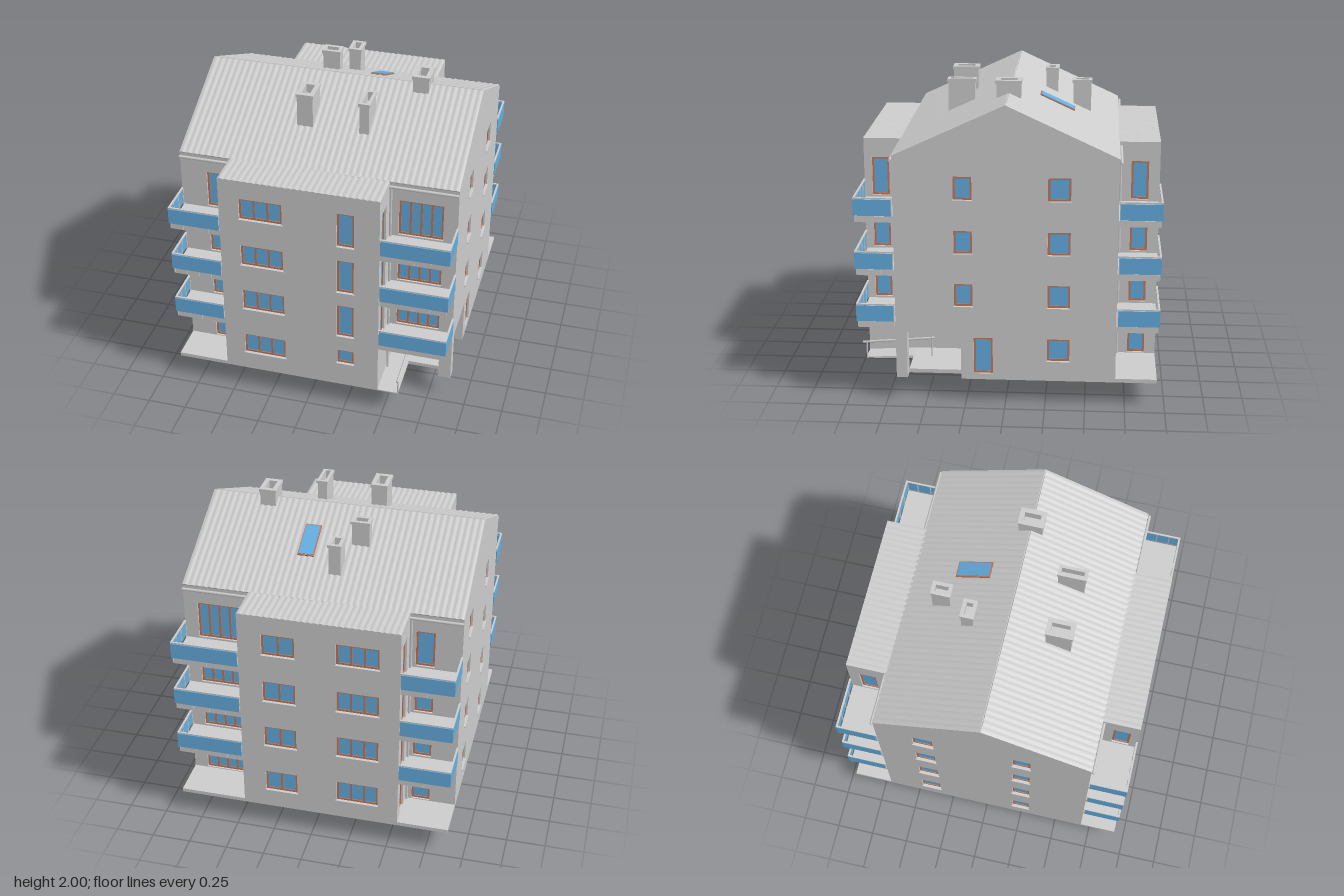
import * as THREE from 'three';

const grey = new THREE.MeshStandardMaterial({ color: 0xcccccc, side: THREE.DoubleSide });
const glass = new THREE.MeshStandardMaterial({ color: 0x64aee0 });
const wood = new THREE.MeshStandardMaterial({ color: 0xbf7a5e });

const FRONT = 0.93, BACK = -0.95, MAIN = 0.69, SIDE = 0.89, PR = 0.46, PL = -0.56;
const BASE = 0.15, EAVE = 1.6, RIDGE = 1.92;
const TOPS = [0.43, 0.785, 1.13, 1.475]; // window heads per storey

function add(parent, name, geometry, material = grey) {
  const mesh = new THREE.Mesh(geometry, material);
  mesh.name = name;
  parent.add(mesh);
  return mesh;
}

// box given by its min and max on each axis
function box(parent, name, x0, x1, y0, y1, z0, z1, material) {
  const g = new THREE.BoxGeometry(Math.abs(x1 - x0), Math.abs(y1 - y0), Math.abs(z1 - z0));
  g.translate((x0 + x1) / 2, (y0 + y1) / 2, (z0 + z1) / 2);
  return add(parent, name, g, material);
}

function rod(parent, name, a, b, radius) {
  const p = new THREE.Vector3(...a), q = new THREE.Vector3(...b);
  const mesh = add(parent, name, new THREE.CylinderGeometry(radius, radius, p.distanceTo(q), 8));
  mesh.position.copy(p).lerp(q, 0.5);
  mesh.quaternion.setFromUnitVectors(new THREE.Vector3(0, 1, 0), q.sub(p).normalize());
}

const polygon = pts => new THREE.Shape(pts.map(p => new THREE.Vector2(...p)));
const rect = (x0, x1, y0, y1) => [[x0, y0], [x1, y0], [x1, y1], [x0, y1]];
const extrude = (shape, depth) => new THREE.ExtrudeGeometry(shape, { depth, bevelEnabled: false });

// frame with glazing bars, glass and sill, set back in its opening
function addWindow(parent, [x0, x1, y0, y1, panes = 1, sill = true]) {
  const f = 0.013, w = (x1 - x0 - f) / panes;
  const frame = polygon(rect(x0, x1, y0, y1));
  for (let i = 0; i < panes; i++)
    frame.holes.push(polygon(rect(x0 + f + i * w, x0 + (i + 1) * w, y0 + f, y1 - f)));
  add(parent, 'windowFrame', extrude(frame, 0.014).translate(0, 0, -0.026), wood);
  box(parent, 'windowGlass', x0, x1, y0, y1, -0.024, -0.018, glass);
  if (sill) box(parent, 'windowSill', x0 - 0.005, x1 + 0.005, y0 - 0.008, y0, -0.02, 0.008);
}

// wall with openings: local x to the right, outside towards local +z
function wall(parent, name, position, turn, outline, windows) {
  const group = new THREE.Group();
  group.name = name;
  group.position.set(...position);
  group.rotation.y = turn;
  const shape = polygon(outline);
  for (const [x0, x1, y0, y1] of windows) shape.holes.push(polygon(rect(x0, x1, y0, y1)));
  add(group, name + 'Surface', extrude(shape, 0.035).translate(0, 0, -0.035));
  windows.forEach(w => addWindow(group, w));
  parent.add(group);
}

// roof sheet with ribs running down its slope
function roofSheet(parent, name, width, length, ribs) {
  const g = new THREE.BoxGeometry(width, 0.016, length, ribs * 4, 1, 1);
  const p = g.attributes.position;
  for (let i = 0; i < p.count; i++) {
    const t = (p.getX(i) / width + 0.5) * ribs;
    if (p.getY(i) > 0) p.setY(i, 0.005 + 0.006 * Math.abs(Math.sin(Math.PI * t)));
  }
  g.computeVertexNormals();
  return add(parent, name, g);
}

// balcony in a corner of the plan: slab, glass parapet, posts, handrail
function balcony(parent, xi, xo, zi, zo, y) {
  const sx = Math.sign(xo), sz = Math.sign(zo);
  const g = new THREE.Group();
  g.name = 'balcony';
  box(g, 'balconySlab', xi, xo - sx * 0.012, y - 0.04, y, zi, zo - sz * 0.012);
  box(g, 'balconyGlass', xi + sx * 0.005, xo, y + 0.005, y + 0.108, zo - sz * 0.006, zo, glass);
  box(g, 'balconyGlass', xo - sx * 0.006, xo, y + 0.005, y + 0.108, zi + sz * 0.01, zo, glass);
  box(g, 'handrail', xi, xo, y + 0.112, y + 0.12, zo - sz * 0.012, zo);
  box(g, 'handrail', xo - sx * 0.012, xo, y + 0.112, y + 0.12, zi, zo);
  const post = (x, z) => box(g, 'post', x - 0.003, x + 0.003, y - 0.035, y + 0.113, z - 0.003, z + 0.003);
  for (let i = 0; i <= 4; i++) post(xi + (xo - sx * 0.01 - xi) * i / 4, zo - sz * 0.01);
  for (let i = 0; i < 3; i++) post(xo - sx * 0.01, zi + (zo - zi) * (i + 0.1) / 3);
  parent.add(g);
}

// hollow shaft with a wider cap
function chimney(parent, x0, x1, z0, z1, top) {
  const w = (x1 - x0) / 2, d = (z1 - z0) / 2;
  const ring = (grow, height, y) => {
    const s = polygon(rect(-w - grow, w + grow, -d - grow, d + grow));
    const m = Math.min(w, d) * 0.5;
    s.holes.push(polygon(rect(-w + m, w - m, -d + m, d - m)));
    const mesh = add(parent, 'chimney', extrude(s, height).rotateX(-Math.PI / 2));
    mesh.position.set((x0 + x1) / 2, y, (z0 + z1) / 2);
  };
  ring(-0.004, top - 1.67, 1.65);
  ring(0.002, 0.02, top - 0.02);
  box(parent, 'flueBottom', x0 + 0.01, x1 - 0.01, 1.66, top - 0.06, z0 + 0.01, z1 - 0.01);
}

export function createModel() {
  const model = new THREE.Group();
  model.name = 'apartmentBuilding';
  const upper = TOPS.slice(1), Q = Math.PI / 2;
  const rows = (tops, x0, x1, h, panes, sill) => tops.map(t => [x0, x1, t - h, t, panes, sill]);
  const doors = (tops, x0, x1, panes) => rows(tops, x0, x1, 0.25, panes, false);

  // foundation block and floor plate, left out below the entrance niche
  box(model, 'basement', -0.38, 0.2, 0, BASE, -0.38, 0.2);
  const plate = polygon([[-SIDE, -FRONT], [PR, -FRONT], [PR, -0.28], [SIDE, -0.28], [SIDE, -BACK], [-SIDE, -BACK]]);
  add(model, 'floorPlate', extrude(plate, 0.025).rotateX(-Q).translate(0, BASE, 0));

  // projecting middle bays
  wall(model, 'frontBay', [0, 0, FRONT], 0, rect(PL, PR, BASE, EAVE), [
    ...rows(TOPS, -0.43, -0.155, 0.148, 3), ...rows(upper, 0.19, 0.3, 0.24), [0.19, 0.3, 0.325, 0.43]]);
  wall(model, 'backBay', [0, 0, BACK], Math.PI, rect(-PR, -PL, BASE, EAVE), [
    ...rows(TOPS, 0.16, 0.43, 0.148, 3), ...rows(TOPS, -0.31, -0.1, 0.148, 2)]);
  wall(model, 'bayLeftFrontSide', [PR, 0, 0], Q, rect(-FRONT, -MAIN, BASE, EAVE), doors(upper, -0.88, -0.77));
  wall(model, 'bayLeftBackSide', [PR, 0, 0], Q, rect(MAIN, -BACK, BASE, EAVE), doors(TOPS, 0.77, 0.88));
  wall(model, 'bayRightFrontSide', [PL, 0, 0], -Q, rect(MAIN, FRONT, BASE, EAVE), doors(TOPS, 0.77, 0.88));
  wall(model, 'bayRightBackSide', [PL, 0, 0], -Q, rect(BACK, -MAIN, BASE, EAVE), doors(TOPS, -0.88, -0.77));

  // main walls behind the balconies
  wall(model, 'mainFrontLeft', [0, 0, MAIN], 0, rect(PR, SIDE, 0.46, EAVE), doors(upper, 0.52, 0.8, 4));
  wall(model, 'mainFrontRight', [0, 0, MAIN], 0, rect(-SIDE, PL, BASE, EAVE), doors(TOPS, -0.72, -0.6));
  wall(model, 'mainBackLeft', [0, 0, -MAIN], Math.PI, rect(-SIDE, -PR, BASE, EAVE), doors(TOPS, -0.8, -0.52, 4));
  wall(model, 'mainBackRight', [0, 0, -MAIN], Math.PI, rect(-PL, SIDE, BASE, EAVE), doors(TOPS, 0.6, 0.72));

  // gable walls; the left one is cut away for the entrance
  const gableTop = [[MAIN, EAVE], [0, RIDGE], [-MAIN, EAVE]];
  wall(model, 'leftGable', [SIDE, 0, 0], Q,
    [[-0.28, BASE], [MAIN, BASE], ...gableTop, [-MAIN, 0.46], [-0.28, 0.46]], [
      ...rows(upper, -0.32, -0.205, 0.148), ...rows(TOPS, 0.26, 0.4, 0.148), [-0.2, -0.08, 0.19, 0.43, 1, false]]);
  wall(model, 'rightGable', [-SIDE, 0, 0], -Q, [[-MAIN, BASE], [MAIN, BASE], ...gableTop], [
    ...rows(TOPS, 0.195, 0.31, 0.148), ...rows(TOPS, -0.45, -0.32, 0.148)]);

  // entrance niche with pillar, landing, ramp and handrails
  wall(model, 'entranceWall', [0, 0, 0.28], 0, rect(PR, SIDE, BASE, 0.47), [[0.52, 0.75, 0.18, 0.43, 3, false]]);
  wall(model, 'nicheSideWall', [PR, 0, 0], Q, rect(-MAIN, -0.28, BASE, 0.47), [[-0.62, -0.41, 0.37, 0.43, 2]]);
  box(model, 'nicheCeiling', PR, SIDE, 0.46, 0.48, 0.28, MAIN);
  box(model, 'pillar', 0.81, SIDE, BASE, 0.46, 0.62, MAIN);
  box(model, 'landing', PR, 0.81, BASE, 0.175, 0.28, 0.62);
  const ramp = polygon([[-FRONT, BASE], [-0.62, 0.155], [-0.62, 0.175], [-FRONT, 0.157]]);
  add(model, 'ramp', extrude(ramp, 0.135).rotateY(Q).translate(PR, 0, 0));
  rod(model, 'rampHandrail', [0.595, 0.262, 0.95], [0.595, 0.302, 0.48], 0.008);
  rod(model, 'rampPost', [0.595, BASE, 0.925], [0.595, 0.262, 0.925], 0.005);
  rod(model, 'rampPost', [0.595, 0.17, 0.5], [0.595, 0.3, 0.5], 0.005);

  // corner balconies, gutters and downpipes
  for (const sx of [1, -1]) for (const sz of [1, -1]) {
    const xi = sx > 0 ? PR : PL, zo = sz > 0 ? 0.935 : -0.958;
    upper.forEach(t => balcony(model, xi, sx * 0.895, sz * MAIN, zo, t - 0.262));
    const px = xi + sx * 0.012, pz = sz * 0.702;
    rod(model, 'downpipe', [px, BASE + 0.02, pz], [px, 1.57, pz], 0.008);
    rod(model, 'gutter', [xi, 1.57, pz], [sx * SIDE, 1.57, pz], 0.01);
  }

  // ribbed roofs
  const angle = Math.atan2(RIDGE - EAVE, MAIN), slope = Math.hypot(RIDGE - EAVE, MAIN);
  for (const s of [1, -1]) {
    const sheet = roofSheet(model, 'mainRoof', 2 * SIDE, slope, 44);
    sheet.position.set(0, (RIDGE + EAVE) / 2 - 0.007, s * MAIN / 2);
    sheet.rotation.x = s * angle;
    const z = s > 0 ? FRONT : BACK;
    const bay = roofSheet(model, 'bayRoof', PR - PL, Math.abs(z) - MAIN + 0.03, 26);
    bay.position.set((PR + PL) / 2, EAVE - 0.006, (z + s * (MAIN - 0.03)) / 2);
  }

  // skylight on the back slope
  const skylight = new THREE.Group();
  skylight.name = 'skylight';
  box(skylight, 'skylightFrame', -0.052, 0.052, -0.02, 0.012, -0.121, 0.121, wood);
  box(skylight, 'skylightGlass', -0.046, 0.046, 0, 0.015, -0.114, 0.114, glass);
  skylight.position.set(0.172, RIDGE - 0.29 * Math.tan(angle), -0.29);
  skylight.rotation.x = -angle;
  model.add(skylight);

  chimney(model, -0.21, -0.1, 0.24, 0.41, 1.955);
  chimney(model, 0.19, 0.26, 0.23, 0.41, 1.945);
  chimney(model, 0.45, 0.56, -0.08, 0.08, 2);
  chimney(model, -0.215, -0.095, -0.29, -0.205, 1.955);
  chimney(model, -0.085, 0, -0.51, -0.385, 1.895);
  return model;
}
